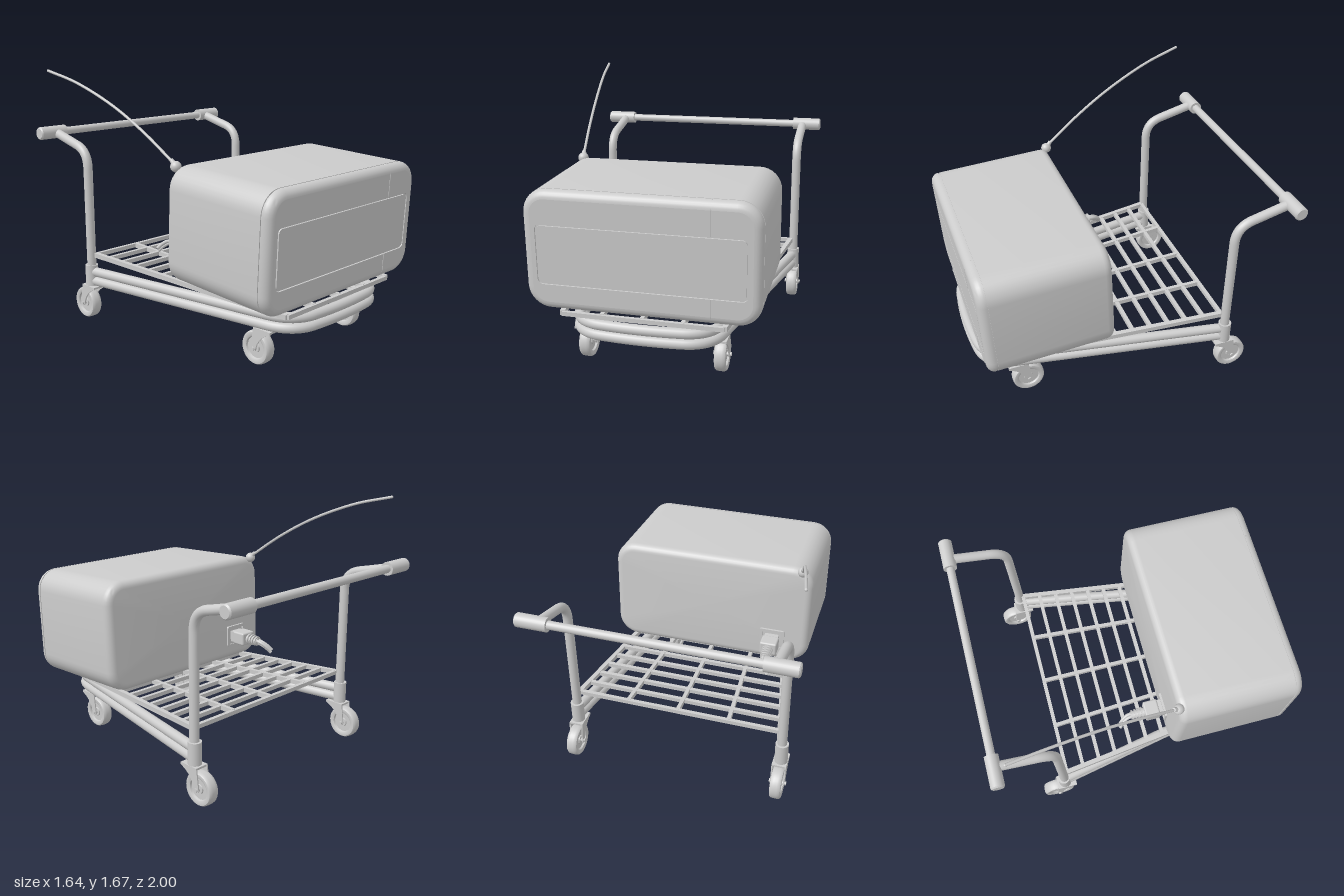
import * as THREE from 'three';
import { toCreasedNormals } from 'three/addons/utils/BufferGeometryUtils.js';
import { RoundedBoxGeometry } from 'three/addons/geometries/RoundedBoxGeometry.js';

const mat = new THREE.MeshStandardMaterial({ color: 0xcccccc });
const V = (x, y, z) => new THREE.Vector3(x, y, z);

function add(parent, name, geo, x = 0, y = 0, z = 0) {
  const m = new THREE.Mesh(geo, mat);
  m.name = name;
  m.position.set(x, y, z);
  parent.add(m);
  return m;
}

// Closed cylinder between two points
function rod(parent, name, a, b, r, r2 = r, sides = 20) {
  const m = add(parent, name, new THREE.CylinderGeometry(r2, r, a.distanceTo(b), sides));
  m.position.copy(a).lerp(b, 0.5);
  m.quaternion.setFromUnitVectors(V(0, 1, 0), b.clone().sub(a).normalize());
  return m;
}

// Rectangular bar between two points
function bar(parent, name, a, b, w, h) {
  const m = add(parent, name, new THREE.BoxGeometry(w, h, a.distanceTo(b)));
  m.position.copy(a).lerp(b, 0.5);
  m.lookAt(b);
  return m;
}

// Counterclockwise outline of a rounded rectangle
function outline(hw, hh, r, steps = 8) {
  const pts = [];
  [[1, 1], [-1, 1], [-1, -1], [1, -1]].forEach(([sx, sy], k) => {
    for (let i = 0; i <= steps; i++) {
      const a = (k + i / steps) * Math.PI / 2;
      pts.push(new THREE.Vector2(sx * (hw - r) + r * Math.cos(a), sy * (hh - r) + r * Math.sin(a)));
    }
  });
  return pts;
}

// Loft of inset rounded rectangles along z, capped at both ends
function loft(hw, hh, r, rings) {
  const pos = [], idx = [];
  let n = 0;
  for (const [z, inset] of rings) {
    const pts = outline(hw - inset, hh - inset, r - inset);
    n = pts.length;
    pts.forEach(p => pos.push(p.x, p.y, z));
  }
  const last = (rings.length - 1) * n, back = rings.length * n;
  pos.push(0, 0, rings[0][0], 0, 0, rings[rings.length - 1][0]);
  for (let j = 0; j < n; j++) {
    const k = (j + 1) % n;
    for (let o = 0; o < last; o += n) idx.push(o + j, o + k, o + n + k, o + j, o + n + k, o + n + j);
    idx.push(back, k, j, back + 1, last + j, last + k);
  }
  const g = new THREE.BufferGeometry();
  g.setAttribute('position', new THREE.Float32BufferAttribute(pos, 3));
  g.setIndex(idx);
  return toCreasedNormals(g, 0.6);
}

function buildCase() {
  const g = new THREE.Group();
  g.name = 'case';
  const hw = 0.69, hh = 0.36, hz = 0.405, r = 0.14, b = 0.05, rings = [];
  for (let i = 0; i <= 6; i++) {
    const a = i * Math.PI / 12;
    rings.push([-hz + b * (1 - Math.sin(a)), b * (1 - Math.cos(a))]);
  }
  rings.reverse();
  rings.sort((p, q) => p[0] - q[0]);
  const front = rings.map(([z, inset]) => [-z, inset]).reverse();
  // Seam groove just behind the front bevel, then a recessed floor for the face plate
  const seam = [[0.345, 0], [0.345, 0.006], [0.352, 0.006], [0.352, 0]];
  add(g, 'shell', loft(hw, hh, r, [...rings, ...seam, ...front, [hz - 0.01, b]]));
  // Face plate with a thin groove around the inset panel
  const flat = { depth: 0.01, bevelEnabled: false };
  const shift = p => new THREE.Vector2(p.x, p.y - 0.02);
  const plate = new THREE.Shape(outline(hw - b, hh - b, r - b));
  plate.holes.push(new THREE.Path(outline(0.613, 0.182, 0.035).map(shift)));
  add(g, 'facePlate', new THREE.ExtrudeGeometry(plate, flat), 0, 0, hz - 0.01);
  const panel = new THREE.Shape(outline(0.604, 0.173, 0.028).map(shift));
  add(g, 'frontPanel', new THREE.ExtrudeGeometry(panel, flat), 0, 0, hz - 0.01);
  // Vertical joint line above and below the panel
  for (const s of [1, -1]) {
    const path = new THREE.CurvePath();
    path.add(new THREE.LineCurve3(V(0.405, s * (0.182 - s * 0.02), hz), V(0.405, s * 0.31, hz)));
    path.add(new THREE.QuadraticBezierCurve3(V(0.405, s * 0.31, hz), V(0.405, s * 0.35, hz - 0.01), V(0.405, s * 0.36, 0.355)));
    add(g, 'coverJoint', new THREE.TubeGeometry(path, 20, 0.003, 6));
  }
  g.position.set(0, 0.78, 0.58);
  g.rotation.x = 0.045;
  return g;
}

function buildAntenna() {
  const g = new THREE.Group();
  g.name = 'antenna';
  add(g, 'antennaBall', new THREE.SphereGeometry(0.034, 20, 14), -0.615, 1.145, 0.19);
  rod(g, 'antennaSocket', V(-0.615, 1.145, 0.19), V(-0.622, 1.185, 0.155), 0.02, 0.012);
  const c = new THREE.CatmullRomCurve3([V(-0.618, 1.16, 0.18), V(-0.655, 1.325, -0.05),
    V(-0.695, 1.47, -0.3), V(-0.747, 1.595, -0.6), V(-0.79, 1.66, -0.85)]);
  add(g, 'antennaRod', new THREE.TubeGeometry(c, 40, 0.009, 10));
  add(g, 'antennaTip', new THREE.SphereGeometry(0.0095, 10, 8), -0.79, 1.66, -0.85);
  return g;
}

function buildPlug() {
  const g = new THREE.Group();
  g.name = 'powerPlug';
  const x = -0.44, y = 0.602;
  // Socket frame on the back wall
  const frame = new THREE.Shape(outline(0.085, 0.075, 0.012));
  frame.holes.push(new THREE.Path(outline(0.068, 0.058, 0.008)));
  add(g, 'socketFrame', new THREE.ExtrudeGeometry(frame, { depth: 0.02, bevelEnabled: false }), x, y, 0.156);
  add(g, 'plugFoot', new THREE.BoxGeometry(0.095, 0.075, 0.05), x, y, 0.155);
  add(g, 'plugBody', new RoundedBoxGeometry(0.115, 0.09, 0.1, 3, 0.012), x, y, 0.085);
  rod(g, 'plugNeck', V(x, y, 0.04), V(x, y - 0.003, -0.06), 0.03, 0.024);
  for (let i = 0; i < 4; i++) rod(g, 'strainRib', V(x, y, 0.024 - i * 0.022), V(x, y, 0.012 - i * 0.022), 0.039 - i * 0.002);
  // Short cut cable of three strands
  for (let i = 0; i < 3; i++) {
    const a = i * 2.1 + 0.5, dx = 0.011 * Math.cos(a), dy = 0.011 * Math.sin(a);
    const c = new THREE.CatmullRomCurve3([V(x + dx, y + dy, -0.04), V(x - 0.004 + dx, y - 0.008 + dy, -0.085),
      V(x - 0.02 + dx, y - 0.03 + dy, -0.12), V(x - 0.04 + dx, y - 0.06 + dy, -0.145)]);
    add(g, 'cableStrand', new THREE.TubeGeometry(c, 14, 0.012, 10));
    rod(g, 'strandEnd', c.getPoint(0.98), c.getPoint(1), 0.012, 0.012, 10);
  }
  return g;
}

// Wheel with trailing fork; origin on the floor under the axle
function buildCaster(x, z) {
  const g = new THREE.Group();
  g.name = 'caster';
  g.position.set(x, 0, z);
  const prof = [[0.001, 0.026], [0.028, 0.026], [0.03, 0.018], [0.066, 0.018], [0.07, 0.03], [0.084, 0.036],
    [0.097, 0.034], [0.103, 0.026], [0.105, 0.012]];
  const pts = [...prof.map(([r, h]) => new THREE.Vector2(r, -h)),
    ...prof.slice().reverse().map(([r, h]) => new THREE.Vector2(r, h))];
  const wheel = add(g, 'wheel', toCreasedNormals(new THREE.LatheGeometry(pts, 40), 0.6), 0, 0.105, 0);
  wheel.rotation.z = Math.PI / 2;
  // Fork cheeks drawn in the z-y plane
  const s = new THREE.Shape();
  s.moveTo(0.13, 0.24);
  s.lineTo(0.0, 0.24);
  s.lineTo(-0.018, 0.105);
  s.absarc(0, 0.105, 0.018, Math.PI, Math.PI * 2);
  s.quadraticCurveTo(0.04, 0.19, 0.13, 0.225);
  const geo = new THREE.ExtrudeGeometry(s, { depth: 0.008, bevelEnabled: false, curveSegments: 10 });
  for (const e of [-0.046, 0.038]) add(g, 'forkCheek', geo, e).rotation.y = -Math.PI / 2;
  g.children.filter(m => m.name === 'forkCheek').forEach(m => { m.position.x += 0.008; });
  add(g, 'forkTop', new THREE.BoxGeometry(0.092, 0.012, 0.13), 0, 0.234, 0.065);
  rod(g, 'axle', V(-0.055, 0.105, 0), V(0.055, 0.105, 0), 0.012);
  rod(g, 'swivelStem', V(0, 0.23, 0.06), V(0, 0.27, 0.06), 0.032);
  return g;
}

function buildCart() {
  const g = new THREE.Group();
  g.name = 'cart';
  // Two stacked U-shaped rails
  for (const y of [0.27, 0.334]) {
    const p = new THREE.CurvePath();
    const L = (a, b) => p.add(new THREE.LineCurve3(V(a[0], y, a[1]), V(b[0], y, b[1])));
    const Q = (a, c, b) => p.add(new THREE.QuadraticBezierCurve3(V(a[0], y, a[1]), V(c[0], y, c[1]), V(b[0], y, b[1])));
    L([-0.685, -0.59], [-0.44, 0.76]);
    Q([-0.44, 0.76], [-0.41, 0.93], [-0.26, 0.955]);
    Q([-0.26, 0.955], [0, 0.985], [0.26, 0.955]);
    Q([0.26, 0.955], [0.41, 0.93], [0.44, 0.76]);
    L([0.44, 0.76], [0.685, -0.59]);
    add(g, 'frameRail', new THREE.TubeGeometry(p, 140, 0.031, 16));
  }
  // Sloping wire deck, narrower towards the front
  const zb = -0.57, zf = 0.95, half = z => 0.67 - (z - zb) * 0.125;
  const at = (t, z) => V(t * half(z), 0.449 - (z - zb) * 0.0447, z);
  for (const t of [-1, -0.5, 0, 0.5, 1]) {
    const w = Math.abs(t) === 1 ? 0.03 : 0.024;
    bar(g, 'deckLongBar', at(t, zb), at(t, zf), w, 0.03);
  }
  for (let i = 0; i < 14; i++) {
    const z = zb + (zf - zb) * i / 13;
    add(g, 'deckCrossBar', new THREE.BoxGeometry(2 * half(z), 0.026, 0.025), 0, at(0, z).y, z);
  }
  // Uprights curving back to the push bar
  for (const s of [-1, 1]) {
    const x = s * 0.688, p = new THREE.CurvePath();
    p.add(new THREE.LineCurve3(V(x, 0.25, -0.597), V(x, 1.03, -0.597)));
    p.add(new THREE.CubicBezierCurve3(V(x, 1.03, -0.597), V(x, 1.13, -0.597), V(x, 1.165, -0.65), V(x, 1.18, -0.72)));
    p.add(new THREE.LineCurve3(V(x, 1.18, -0.72), V(x, 1.238, -0.955)));
    add(g, 'upright', new THREE.TubeGeometry(p, 80, 0.03, 18));
    rod(g, 'uprightSleeve', V(x, 0.237, -0.6), V(x, 0.38, -0.6), 0.042);
    rod(g, 'grip', V(s * 0.62, 1.24, -0.957), V(s * 0.81, 1.24, -0.957), 0.043, 0.043, 28);
    rod(g, 'gripEnd', V(s * 0.81, 1.24, -0.957), V(s * 0.818, 1.24, -0.957), 0.043, 0.035, 28);
    g.add(buildCaster(s * 0.42, 0.68), buildCaster(s * 0.685, -0.655));
  }
  rod(g, 'pushBar', V(-0.63, 1.24, -0.957), V(0.63, 1.24, -0.957), 0.026);
  return g;
}

export function createModel() {
  const model = new THREE.Group();
  model.name = 'trolleyWithCase';
  model.add(buildCart(), buildCase(), buildAntenna(), buildPlug());
  return model;
}
